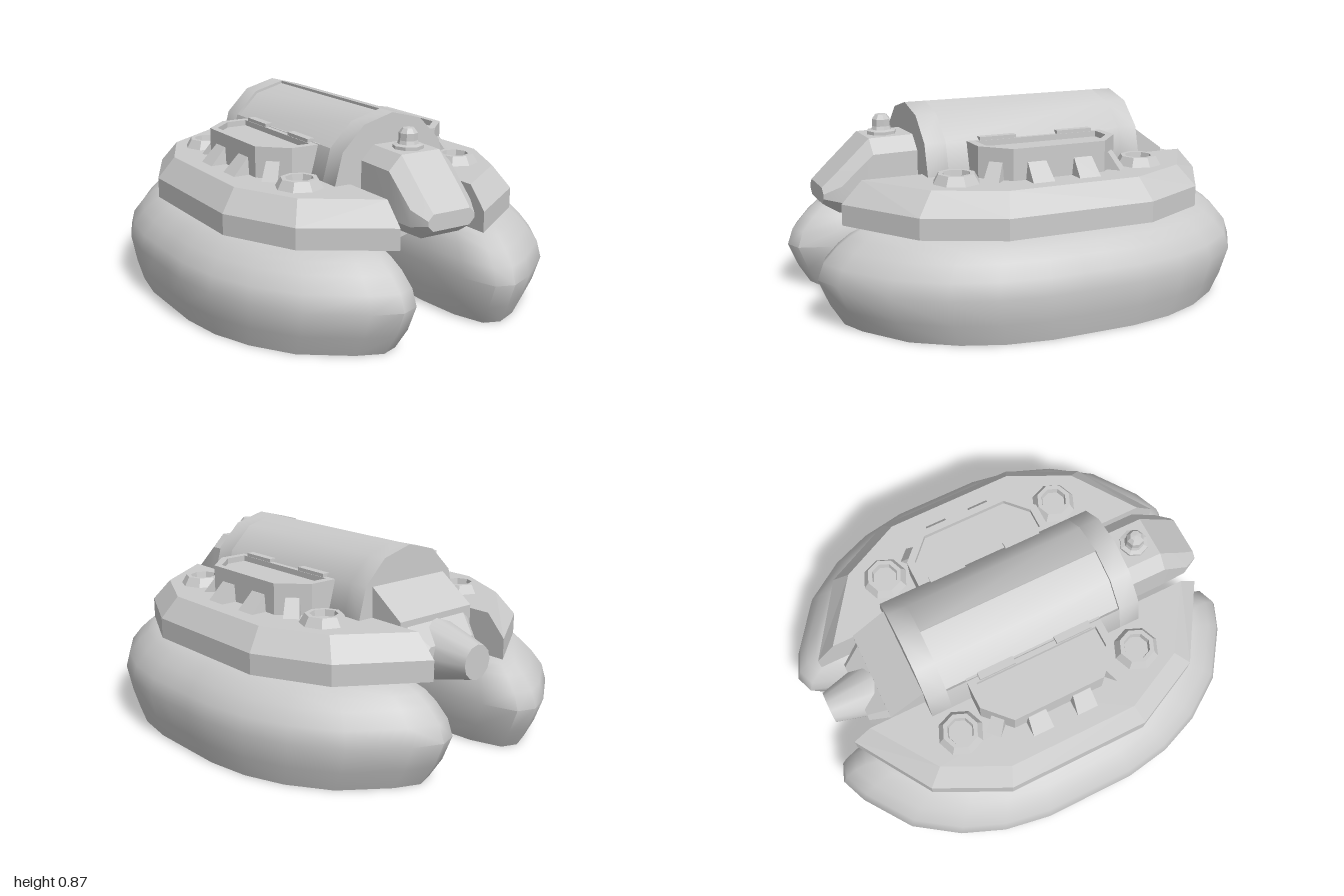
import * as THREE from 'three';
import { toCreasedNormals } from 'three/addons/utils/BufferGeometryUtils.js';

const material = new THREE.MeshStandardMaterial({ color: 0xcccccc });

// Skin a list of equal-length rings of [x, y, z], capping both ends; faces always point outwards.
function loft(rings, crease = 0) {
  const tris = [];
  const n = rings[0].length;
  for (let r = 0; r < rings.length - 1; r++) {
    for (let i = 0; i < n; i++) {
      const j = (i + 1) % n;
      const [a, b, c, d] = [rings[r][i], rings[r][j], rings[r + 1][j], rings[r + 1][i]];
      tris.push([a, b, c], [a, c, d]);
    }
  }
  const centre = ring => [0, 1, 2].map(k => ring.reduce((t, p) => t + p[k], 0) / n);
  const first = rings[0], last = rings[rings.length - 1];
  const c0 = centre(first), c1 = centre(last);
  for (let i = 0; i < n; i++) {
    const j = (i + 1) % n;
    tris.push([c0, first[j], first[i]], [c1, last[i], last[j]]);
  }
  const volume = tris.reduce((t, [a, b, c]) => t
    + a[0] * (b[1] * c[2] - b[2] * c[1])
    + a[1] * (b[2] * c[0] - b[0] * c[2])
    + a[2] * (b[0] * c[1] - b[1] * c[0]), 0);
  if (volume < 0) tris.forEach(t => t.reverse());
  const geo = new THREE.BufferGeometry();
  geo.setAttribute('position', new THREE.Float32BufferAttribute(tris.flat(2), 3));
  geo.computeVertexNormals();
  return crease ? toCreasedNormals(geo, crease) : geo;
}

function add(parent, name, geo, x = 0, y = 0, z = 0) {
  const mesh = new THREE.Mesh(geo, material);
  mesh.name = name;
  mesh.position.set(x, y, z);
  parent.add(mesh);
  return mesh;
}

// Faceted lathe with hard edges
function turned(profile, sides = 8) {
  const geo = new THREE.LatheGeometry(profile.map(p => new THREE.Vector2(...p)), sides).toNonIndexed();
  geo.computeVertexNormals();
  return geo;
}

// Complete a half outline of [x, z] by mirroring it across z = 0
const mirrorZ = half => [...half, ...half.map(([x, z]) => [x, -z]).reverse()];
// Place an [x, z] outline at height y, on side s
const level = (outline, y, s) => outline.map(([x, z]) => [x * s, y, z]);
// Chamfered rectangle across z
const chamfered = (z, w, y0, y1, c) => [
  [w, y0 + c, z], [w, y1 - c, z], [w - c, y1, z], [c - w, y1, z],
  [-w, y1 - c, z], [-w, y0 + c, z], [c - w, y0, z], [w - c, y0, z],
];

function createSide(s) {
  const side = new THREE.Group();
  side.name = s > 0 ? 'leftSide' : 'rightSide';

  // Pontoon: rows of height, inner x, outer x, length
  const hull = mirrorZ([[0.85, 0.07], [0.85, 0.21], [0.815, 0.42], [0.74, 0.61], [0.61, 0.8],
    [0.4, 0.95], [0.28, 1], [0.2, 0.97], [0.15, 0.82], [0.13, 0.6], [0.13, 0.2]]);
  const rows = [[0, 0.165, 0.81, 0.9], [0.09, 0.14, 0.833, 0.955], [0.2, 0.13, 0.85, 1],
    [0.27, 0.137, 0.835, 0.975], [0.33, 0.155, 0.79, 0.92], [0.37, 0.175, 0.75, 0.87], [0.4, 0.21, 0.7, 0.82]];
  add(side, 'pontoon', loft(rows.map(([y, xi, xo, k]) =>
    level(hull.map(([x, z]) => [xi + (x - 0.13) / 0.72 * (xo - xi), z * k]), y, s)), 1));

  // Deck with bevelled rim
  const rim = mirrorZ([[0.705, 0.33], [0.55, 0.65], [0.21, 0.87]]);
  const top = mirrorZ([[0.635, 0.3], [0.5, 0.58], [0.21, 0.78]]);
  add(side, 'deck', loft([level(rim, 0.4, s), level(rim, 0.49, s), level(top, 0.585, s)]));

  // Hatch with recessed lid
  const outer = mirrorZ([[0.49, 0.215], [0.375, 0.325], [0.23, 0.325]]);
  const inner = mirrorZ([[0.46, 0.2], [0.365, 0.29], [0.27, 0.29]]);
  add(side, 'hatch', loft([level(outer, 0.57, s), level(outer, 0.72, s),
    level(inner, 0.72, s), level(inner, 0.695, s)]));

  for (const e of [-1, 1]) {
    add(side, 'hatchHinge', new THREE.BoxGeometry(0.035, 0.05, 0.17), s * 0.25, 0.71, e * 0.185);

    // Round deck port
    add(side, 'deckPort', turned([[0.105, 0], [0.08, 0.042], [0.06, 0.042], [0.055, 0.015], [0, 0.015]]),
      s * 0.405, 0.582, e * 0.435);

    // Braces around the hatch
    const brace = (depth, w, angle, x, z) => {
      const ring = f => [[-0.05, 0, f * w], [depth, 0, f * w], [0.01, 0.08, f * w * 0.85], [-0.05, 0.08, f * w * 0.85]];
      add(side, 'hatchBrace', loft([ring(-1), ring(1)]).rotateY(angle), x, 0.58, z);
    };
    brace(0.085, 0.05, s > 0 ? 0 : Math.PI, s * 0.482, e * 0.108);
    brace(0.07, 0.035, Math.atan2(-e, s), s * 0.43, e * 0.265);
  }
  return side;
}

export function createModel() {
  const model = new THREE.Group();
  model.name = 'craft';
  model.add(createSide(1), createSide(-1));

  // Twelve-sided body, with a sunken panel on its right upper facets
  const bodyRing = (z, r) => {
    const ring = [];
    const put = (i, rad) => {
      const a = i * Math.PI / 6;
      ring.push([Math.sin(a) * rad, 0.58 + Math.cos(a) * rad, z]);
    };
    for (let i = 0; i <= 10; i++) put(i, 0.285);
    put(10, r);
    put(11, r);
    put(12, r);
    return ring;
  };
  add(model, 'body', loft([bodyRing(-0.42, 0.273), bodyRing(0.42, 0.273)], 0.7));
  const collarRing = z => bodyRing(z, 0.285).filter((p, i) => i !== 11 && i !== 13);
  for (const e of [-1, 1]) {
    add(model, 'bodyCollar', loft([collarRing(e * 0.42), collarRing(e * 0.515)], 0.7));
  }

  // Nose with sloping front
  add(model, 'nose', loft([
    chamfered(0.45, 0.155, 0.42, 0.74, 0.06), chamfered(0.71, 0.155, 0.42, 0.735, 0.06),
    chamfered(0.85, 0.15, 0.425, 0.605, 0.055), chamfered(0.92, 0.115, 0.47, 0.54, 0.025),
  ], 0.5));
  add(model, 'noseLamp', turned([[0.065, 0], [0.065, 0.025], [0.045, 0.03], [0.04, 0.045],
    [0.04, 0.075], [0.025, 0.095], [0, 0.098]]), 0, 0.725, 0.625);

  // Rear housing, its tapered lower end and the tail cone
  const housing = x => [[x, 0.72, -0.4], [x, 0.72, -0.51], [x, 0.6, -0.68], [x, 0.4, -0.68],
    [x, 0.33, -0.55], [x, 0.33, -0.4]];
  add(model, 'rearHousing', loft([housing(-0.21), housing(0.21)]));
  add(model, 'rearTaper', loft([chamfered(-0.66, 0.205, 0.36, 0.59, 0.03), chamfered(-0.77, 0.145, 0.4, 0.5, 0.02)]));
  const cone = new THREE.CylinderGeometry(0.075, 0.14, 0.25, 12).rotateX(-Math.PI / 2);
  add(model, 'tailCone', cone, 0, 0.445, -0.785);

  return model;
}
